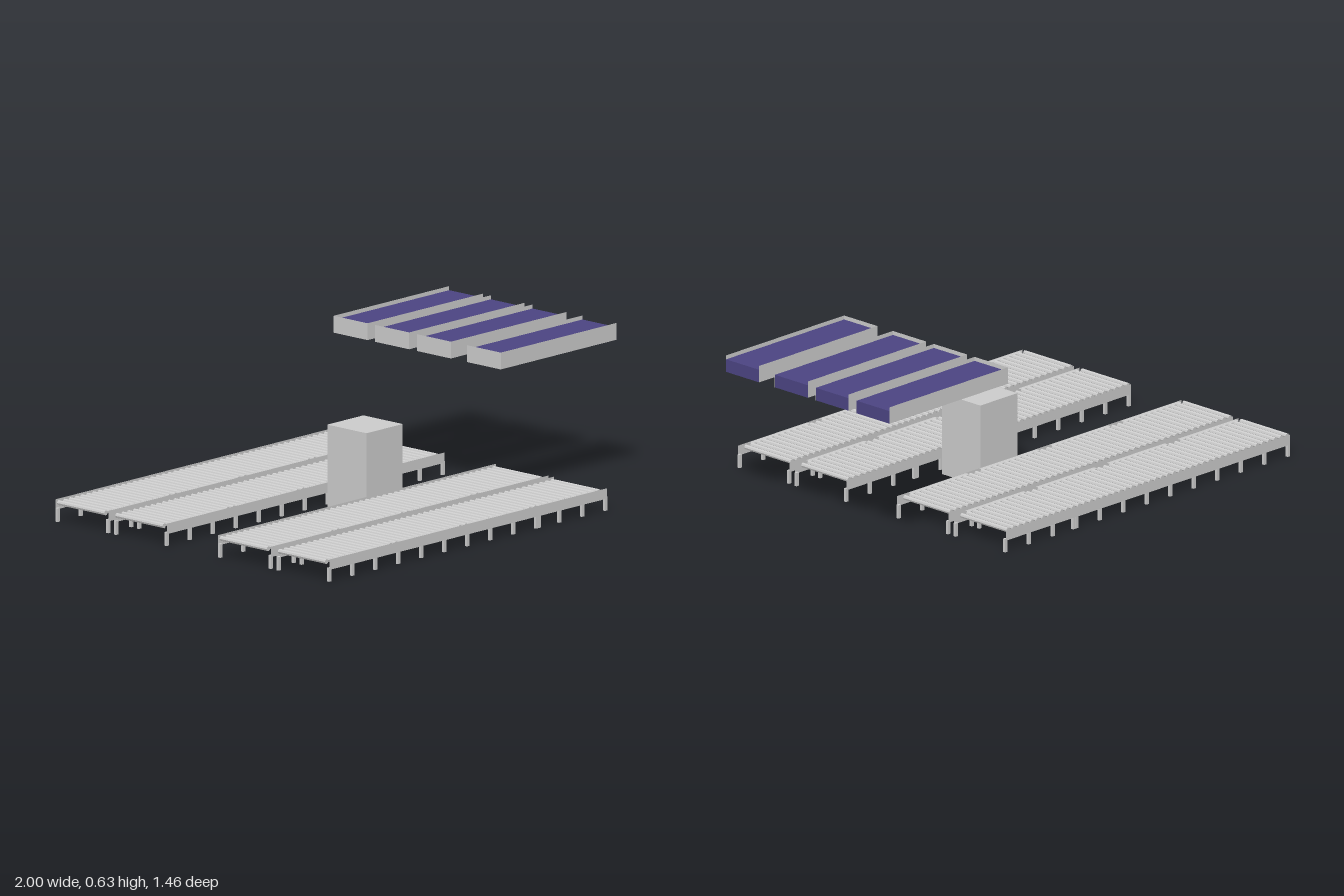
import * as THREE from 'three';

const grey = new THREE.MeshStandardMaterial({ color: 0xcccccc, flatShading: true });
const sheet = new THREE.MeshStandardMaterial({ color: 0xcccccc, side: THREE.DoubleSide });
const navy = new THREE.MeshStandardMaterial({ color: 0x4b4482 });

function add(parent, name, geometry, material, x, y, z) {
  const mesh = new THREE.Mesh(geometry, material);
  mesh.name = name;
  mesh.position.set(x, y, z);
  parent.add(mesh);
  return mesh;
}

// One roller conveyor, running along x and centred on z = 0
function conveyor() {
  const group = new THREE.Group();
  group.name = 'rollerConveyor';

  // Rollers
  const rollerGeo = new THREE.CylinderGeometry(0.01, 0.01, 0.252, 8).rotateX(Math.PI / 2);
  for (let i = 0; i < 48; i++) {
    add(group, 'roller', rollerGeo, grey, -0.99 + i * 0.0334, 0.08, 0.003);
  }

  // Thin side rails and the legs beneath them
  const railGeo = new THREE.PlaneGeometry(1.6, 0.042);
  const legGeo = new THREE.BoxGeometry(0.014, 0.055, 0.011);
  for (const side of [1, -1]) {
    const rail = add(group, 'sideRail', railGeo, sheet, -0.188, 0.069, side * 0.141);
    if (side < 0) rail.rotation.y = Math.PI;
    for (let i = 0; i < 13; i++) {
      add(group, 'leg', legGeo, grey, -0.982 + i * 0.1325, 0.0275, side * 0.135);
    }
    add(group, 'jointLeg', legGeo, grey, 0.225, 0.0275, side * 0.135);
  }

  // Front rail flange, one strip per section
  const flangeGeo = new THREE.PlaneGeometry(0.325, 0.02).rotateX(-Math.PI / 2);
  for (let i = 0; i < 4; i++) {
    add(group, 'railFlange', flangeGeo, sheet, -0.808 + i * 0.398, 0.089, 0.131);
  }
  return group;
}

// Raised tray: navy slab with grey walls on three sides, open at +x
function tray() {
  const group = new THREE.Group();
  group.name = 'overheadTray';
  const length = 0.666, width = 0.181, wall = 0.068;
  add(group, 'traySlab', new THREE.BoxGeometry(length - 0.002, 0.052, width - 0.002), navy, 0, 0.026, 0);
  for (const side of [1, -1]) {
    const long = add(group, 'trayLongWall', new THREE.PlaneGeometry(length, wall), sheet, 0, wall / 2, side * width / 2);
    if (side < 0) long.rotation.y = Math.PI;
  }
  const end = add(group, 'trayEndWall', new THREE.PlaneGeometry(width, wall), sheet, -length / 2, wall / 2, 0);
  end.rotation.y = -Math.PI / 2;
  return group;
}

export function createModel() {
  const model = new THREE.Group();
  model.name = 'conveyorStation';

  // Two pairs of conveyors
  for (const z of [-0.588, -0.277, 0.279, 0.59]) {
    const row = conveyor();
    row.position.z = z;
    model.add(row);
  }

  // Central cabinet
  add(model, 'cabinet', new THREE.BoxGeometry(0.208, 0.334, 0.21), grey, 0.009, 0.167, -0.002);

  // Overhead trays
  for (const z of [-0.38, -0.158, 0.065, 0.331]) {
    const t = tray();
    t.position.set(0.667, 0.567, z);
    model.add(t);
  }
  return model;
}
